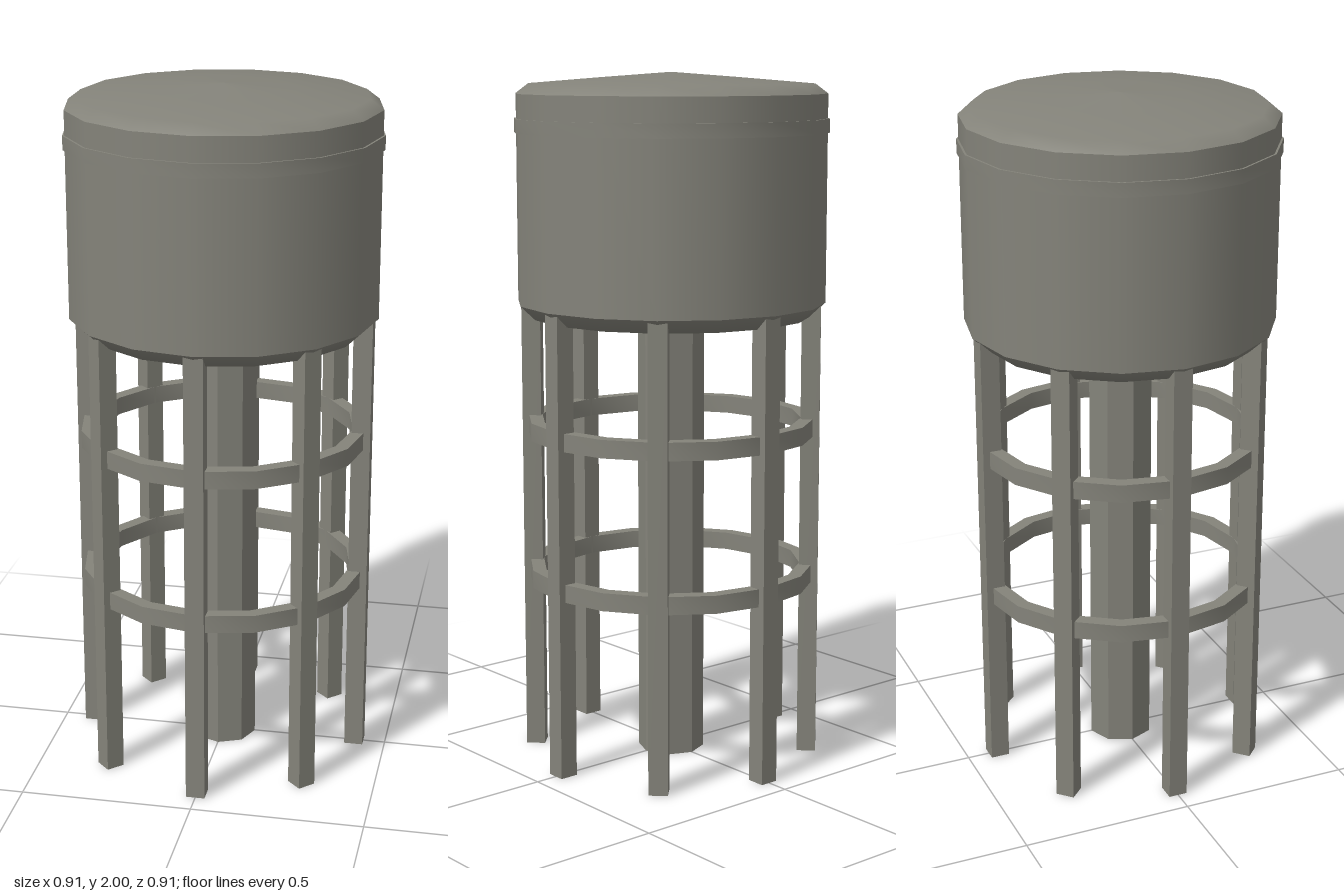
import * as THREE from 'three';
import { toCreasedNormals } from 'three/addons/utils/BufferGeometryUtils.js';

const SIDES = 16;

export function createModel() {
  const model = new THREE.Group();
  model.name = 'waterTower';
  const concrete = new THREE.MeshStandardMaterial({ color: 0x84837a });
  concrete.name = 'concrete';

  const add = (name, geometry, parent = model) => {
    const mesh = new THREE.Mesh(geometry, concrete);
    mesh.name = name;
    parent.add(mesh);
    return mesh;
  };
  // Profile points run counter-clockwise, outer side upwards
  const lathe = (points) =>
    new THREE.LatheGeometry(points.map(([r, y]) => new THREE.Vector2(r, y)), SIDES);
  const hoop = (inner, outer, y0, y1) =>
    toCreasedNormals(
      lathe([[inner, y0], [outer, y0], [outer, y1], [inner, y1], [inner, y0]]),
      Math.PI / 6
    );

  // Tank: shallow underside, wall, low roof
  const tank = new THREE.Group();
  tank.name = 'tank';
  model.add(tank);
  add('tankUnderside', lathe([[0, 1.305], [0.405, 1.305], [0.447, 1.345]]), tank);
  add('tankWall', lathe([[0.447, 1.345], [0.447, 1.94]]), tank);
  add('tankRoof', lathe([[0.447, 1.94], [0.41, 1.968], [0.2, 1.985], [0, 2]]), tank);
  add('tankBand', hoop(0.435, 0.453, 1.83, 1.87), tank);

  // Central shaft
  const shaft = new THREE.CylinderGeometry(0.097, 0.097, 1.31, 8);
  shaft.translate(0, 0.655, 0);
  add('centralShaft', toCreasedNormals(shaft, Math.PI / 6));

  // Eight square legs, each turned to face outwards
  const legShape = new THREE.BoxGeometry(0.055, 1.34, 0.055);
  legShape.translate(0, 0.67, 0.407);
  for (let i = 0; i < 8; i++) {
    add('leg' + (i + 1), legShape).rotation.y = (i * Math.PI) / 4;
  }

  // Bracing rings tying the legs together
  add('lowerRing', hoop(0.38, 0.42, 0.52, 0.572));
  add('upperRing', hoop(0.38, 0.42, 0.955, 1.007));

  return model;
}
